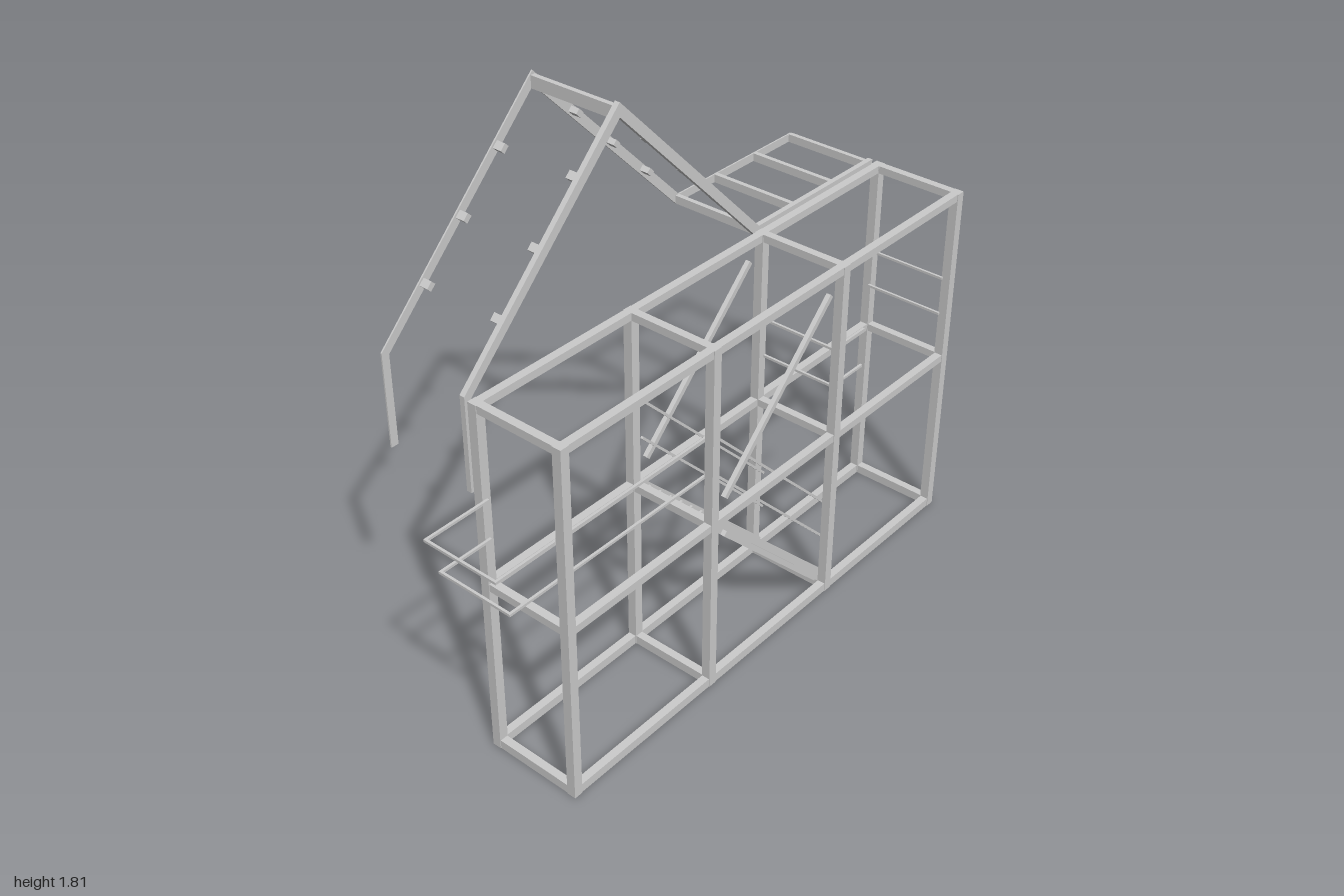
import * as THREE from 'three';

export function createModel() {
  const root = new THREE.Group();
  const mat = new THREE.MeshStandardMaterial({ color: 0xcccccc, flatShading: true });

  const group = (name) => {
    const g = new THREE.Group();
    g.name = name;
    root.add(g);
    return g;
  };
  // box from its minimum and maximum corners
  const box = (parent, name, x0, x1, y0, y1, z0, z1) => {
    const m = new THREE.Mesh(new THREE.BoxGeometry(x1 - x0, y1 - y0, z1 - z0), mat);
    m.name = name;
    m.position.set((x0 + x1) / 2, (y0 + y1) / 2, (z0 + z1) / 2);
    parent.add(m);
    return m;
  };
  // sloping bar in the x-y plane: thick across the slope, deep along z
  const bar = (parent, name, [ax, ay], [bx, by], z, thick, deep) => {
    const m = new THREE.Mesh(new THREE.BoxGeometry(Math.hypot(bx - ax, by - ay), thick, deep), mat);
    m.name = name;
    m.position.set((ax + bx) / 2, (ay + by) / 2, z);
    m.rotation.z = Math.atan2(by - ay, bx - ax);
    parent.add(m);
    return m;
  };

  // Two-storey frame: posts, long beams and cross beams
  const frame = group('mainFrame');
  const postX = [-0.775, -0.187, 0.395, 0.985];
  const levels = [[0, 0.03], [0.59, 0.615], [1.175, 1.2]];
  const sides = [[0, 0.03], [0.295, 0.325]];
  postX.forEach((x, i) => {
    for (const [z0, z1] of sides) {
      box(frame, 'post', x - 0.015, x + 0.015, 0, 1.2, z0, z1);
      if (i < 3) {
        for (const [y0, y1] of levels)
          box(frame, 'longBeam', x + 0.015, postX[i + 1] - 0.015, y0, y1, z0 + 0.002, z1 - 0.002);
      }
    }
    for (const [y0, y1] of levels) box(frame, 'crossBeam', x - 0.013, x + 0.013, y0, y1, 0.03, 0.295);
  });

  // Gable outline with a drop leg on one side and a flat deck rail on the other
  const roof = group('roofFrame');
  const gable = (name, z, depth, end) => {
    const shape = new THREE.Shape([
      [-0.79, 0.905], [-0.765, 0.905], [-0.765, 1.195], [-0.19, 1.767], [0.395, 1.178],
      [end, 1.178], [end, 1.205], [0.41, 1.205], [-0.19, 1.81], [-0.79, 1.208],
    ].map(([x, y]) => new THREE.Vector2(x, y)));
    const m = new THREE.Mesh(new THREE.ExtrudeGeometry(shape, { depth, bevelEnabled: false }), mat);
    m.name = name;
    m.position.z = z;
    roof.add(m);
  };
  gable('frontGable', -0.027, 0.017, 0.99);
  gable('backGable', -0.327, 0.005, 0.975);

  // Ridge, eave and deck cross bars
  box(roof, 'ridgeBeam', -0.198, -0.182, 1.76, 1.798, -0.322, -0.027);
  for (const x of [0.403, 0.59, 0.785, 0.97])
    box(roof, 'deckBar', x - 0.008, x + 0.008, 1.178, 1.205, -0.322, -0.027);

  // Purlin cleats on the inner faces of the rafters
  for (const side of [-1, 1]) {
    for (const d of [0.145, 0.293, 0.437]) {
      for (const z of [-0.042, -0.307]) {
        const cleat = box(roof, 'purlinCleat', -0.012, 0.012, -0.009, 0.009, -0.015, 0.015);
        cleat.position.set(-0.19 + side * d, 1.788 - d, z);
        cleat.rotation.z = -side * Math.PI / 4;
      }
    }
  }

  // Stair strings with small tread brackets, handrails and knee braces on both faces
  const stair = group('stair');
  const steps = 12;
  for (const [z, inward] of [[0.035, 1], [0.288, -1]]) {
    bar(stair, 'stringer', [-0.185, 0.61], [0.395, 0.04], z, 0.04, 0.007);
    for (let i = 0; i < steps; i++) {
      const t = (i + 0.5) / steps;
      const x = -0.185 + 0.58 * t, y = 0.61 - 0.57 * t, zc = z + inward * 0.006;
      box(stair, 'treadBracket', x - 0.016, x + 0.016, y - 0.003, y + 0.003, zc - 0.005, zc + 0.005);
    }
    bar(stair, 'stairRail', [-0.17, 0.9], [0.415, 0.315], z, 0.008, 0.008);
    bar(stair, 'stairRail', [-0.17, 0.77], [0.415, 0.18], z, 0.008, 0.008);
  }
  const braces = group('braces');
  for (const z of [0.015, 0.31]) {
    bar(braces, 'lowerBrace', [-0.13, 0.54], [0.335, 0.078], z, 0.017, 0.015);
    bar(braces, 'upperBrace', [-0.13, 0.668], [0.335, 1.125], z, 0.017, 0.015);
  }

  // Balcony rails and guard rails across the bays
  const rails = group('guardRails');
  const h = 0.004;
  for (const [y, end] of [[0.897, -1], [0.767, -0.96]]) {
    const rail = (name, x0, x1, z0, z1) => box(rails, name, x0, x1, y - h, y + h, z0, z1);
    rail('longRail', end, -0.17, 0.284, 0.292);
    rail('returnRail', end, -0.775, 0.032, 0.04);
    rail('balconyEndRail', end, end + 2 * h, 0.032, 0.292);
    rail('shortRail', 0.4, 0.555, 0.284, 0.292);
    for (const x of [0.405, 0.965]) rail('crossRail', x - h, x + h, 0.025, 0.3);
  }
  return root;
}
